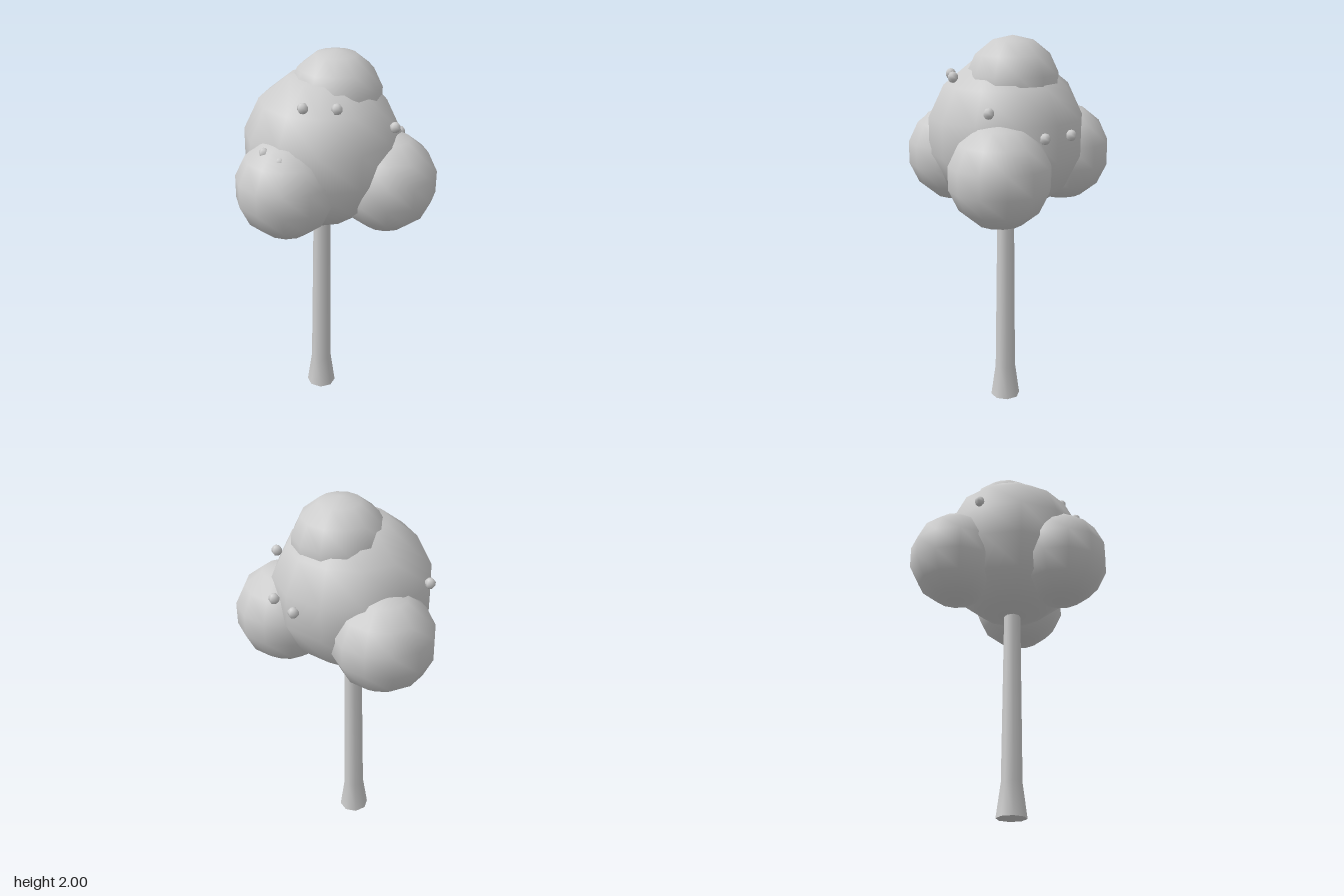
import * as THREE from 'three';

export function createModel() {
  const group = new THREE.Group();
  const grey = new THREE.MeshStandardMaterial({ color: 0xcccccc });
  grey.name = 'light grey';

  // Low-sided smooth ball, turned half a segment so its flats face the axes
  function addBall(name, radius, segments, rings, [x, y, z]) {
    const geometry = new THREE.SphereGeometry(radius, segments, rings);
    geometry.rotateY(Math.PI / segments);
    const mesh = new THREE.Mesh(geometry, grey);
    mesh.name = name;
    mesh.position.set(x, y, z);
    group.add(mesh);
  }

  // Trunk with a flared foot, running up into the crown
  const profile = [[0, 0], [0.08, 0], [0.08, 0], [0.055, 0.18], [0.045, 1.1], [0.042, 1.4], [0, 1.4]];
  const trunk = new THREE.Mesh(
    new THREE.LatheGeometry(profile.map(([r, y]) => new THREE.Vector2(r, y)), 8), grey);
  trunk.name = 'trunk';
  trunk.position.z = -0.045;
  group.add(trunk);

  // Foliage
  addBall('crown', 0.41, 12, 7, [0, 1.5, -0.047]);
  addBall('topFoliage', 0.2415, 12, 7, [0.028, 1.76, -0.107]);
  addBall('frontFoliage', 0.26, 12, 7, [0.054, 1.378, 0.245]);
  addBall('leftFoliage', 0.26, 12, 7, [0.291, 1.348, -0.225]);
  addBall('rightFoliage', 0.26, 12, 7, [-0.295, 1.378, -0.197]);

  // Berries dotted over the foliage
  const berries = [
    [0.035, 1.54, -0.465], [0.193, 1.54, -0.42], [0.352, 1.66, -0.205], [-0.395, 1.61, 0.042],
    [0.252, 1.8, 0.095], [0.136, 1.8, 0.207], [0.036, 1.587, 0.365], [0.136, 1.565, 0.35],
  ];
  for (const position of berries) addBall('berry', 0.028, 6, 5, position);

  return group;
}
